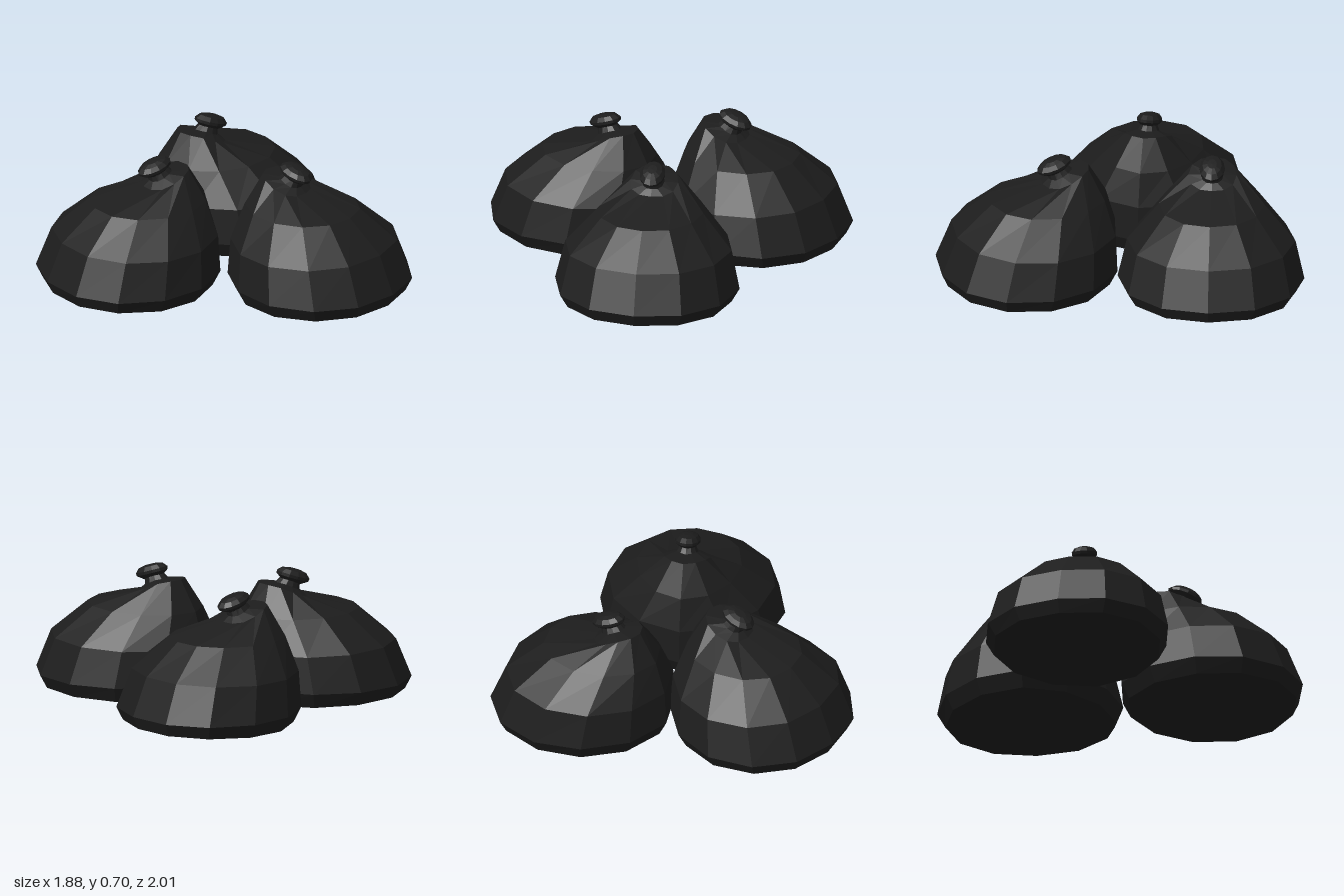
import * as THREE from 'three';

const SIDES = 12;
const material = new THREE.MeshStandardMaterial({ color: 0x1d1d1d, flatShading: true, side: THREE.DoubleSide });

// Rings stacked bottom to top, as [centre, length radius, width radius, height at outer side, height at inner side]
const MOUND_RINGS = [
  [0, 0, 0, 0.01, 0.01],
  [-0.005, 0.46, 0.46, 0.02, 0],
  [0, 0.498, 0.504, 0.09, 0.085],
  [0.038, 0.45, 0.455, 0.3, 0.28],
  [0.11, 0.325, 0.285, 0.47, 0.46],
  [0.207, 0.13, 0.13, 0.545, 0.625],
  [0.175, 0.065, 0.06, 0.575, 0.62],
  [0.155, 0.05, 0.04, 0.625, 0.65],
];

// Skin of the mound, leaning towards +x, with a slight ridge on the leaning side
function moundGeometry() {
  const positions = [];
  const index = [];
  MOUND_RINGS.forEach(([cx, rx, rz, yOuter, yInner], i) => {
    for (let j = 0; j < SIDES; j++) {
      const a = (j / SIDES) * Math.PI * 2;
      const c = Math.cos(a);
      const ridge = 0.074 * rx * (c ** 4 - 1);
      const y = yOuter + (yInner - yOuter) * THREE.MathUtils.smoothstep(c, -1, 1);
      positions.push(cx + rx * c + ridge, y, rz * Math.sin(a));
      if (i === MOUND_RINGS.length - 1) continue;
      const k = (j + 1) % SIDES;
      const A = i * SIDES + j, B = i * SIDES + k;
      const C = A + SIDES, D = B + SIDES;
      if (i > 0) index.push(A, C, B);
      index.push(B, C, D);
    }
  });
  const geometry = new THREE.BufferGeometry();
  geometry.setAttribute('position', new THREE.Float32BufferAttribute(positions, 3));
  geometry.setIndex(index);
  geometry.computeVertexNormals();
  return geometry;
}

// Oval button, tilted up towards the lean
function knobGeometry() {
  const profile = [[0, -0.038], [0.05, -0.036], [0.092, -0.008], [0.094, 0.008], [0.072, 0.03], [0.035, 0.039], [0, 0.04]];
  const geometry = new THREE.LatheGeometry(profile.map(([x, y]) => new THREE.Vector2(x, y)), SIDES);
  geometry.scale(1.04, 1, 0.73);
  geometry.rotateZ(0.32);
  geometry.translate(0.142, 0.646, 0);
  return geometry;
}

export function createModel() {
  const model = new THREE.Group();
  model.name = 'moundCluster';
  const skin = moundGeometry();
  const button = knobGeometry();

  // Three mounds: centre x, centre z, and the direction each one leans
  const places = [
    [-0.437, -0.035, 1, 0],
    [0.39, -0.495, -0.99, 0.14],
    [0.425, 0.495, -0.49, -0.87],
  ];
  places.forEach(([x, z, dx, dz], i) => {
    const group = new THREE.Group();
    group.name = `mound${i + 1}`;
    const body = new THREE.Mesh(skin, material);
    body.name = 'moundBody';
    const knob = new THREE.Mesh(button, material);
    knob.name = 'knob';
    group.add(body, knob);
    group.position.set(x, 0, z);
    group.rotation.y = Math.atan2(-dz, dx);
    model.add(group);
  });
  return model;
}
